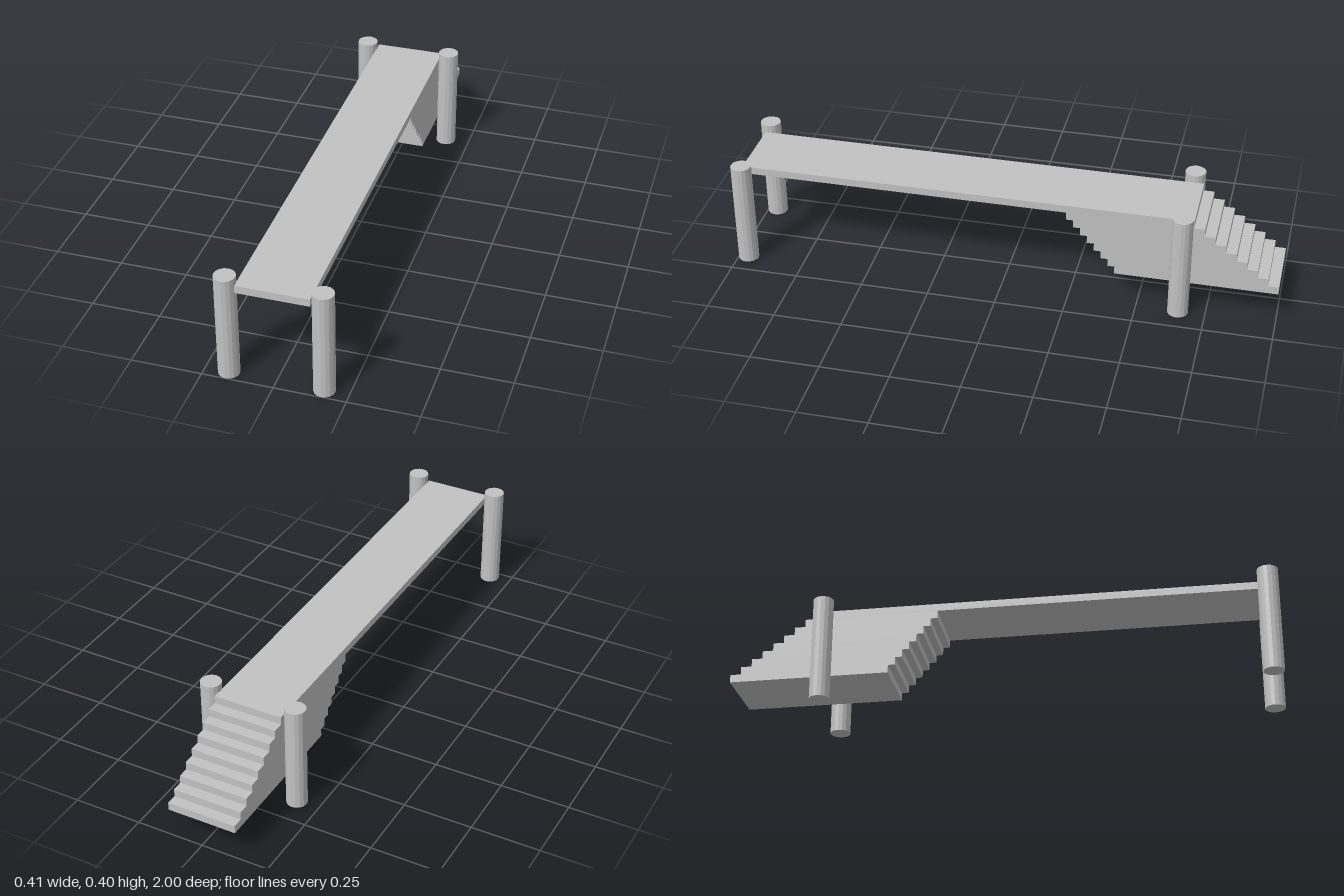
import * as THREE from 'three';

export function createModel() {
  const model = new THREE.Group();
  model.name = 'pier';
  const concrete = new THREE.MeshStandardMaterial({ color: 0xc2c2c2 });
  concrete.name = 'concrete grey';
  const postMaterial = concrete.clone();
  postMaterial.flatShading = true;

  const left = 0.124, right = -0.131;

  // Box given by its height range and z range, as wide as the walkway
  function slab(name, y0, y1, z0, z1) {
    const mesh = new THREE.Mesh(new THREE.BoxGeometry(left - right, y1 - y0, z1 - z0), concrete);
    mesh.position.set((left + right) / 2, (y0 + y1) / 2, (z0 + z1) / 2);
    mesh.name = name;
    model.add(mesh);
  }

  // Walkway deck
  const deckBottom = 0.339;
  slab('deck', deckBottom, 0.367, -0.688, 0.973);

  // Staircase of stacked slabs, each lower one set further back
  const steps = 8, base = 0.105;
  const rise = (deckBottom - base) / steps;
  for (let i = 0; i < steps; i++) {
    const top = deckBottom - i * rise;
    slab('step' + (i + 1), top - rise, top, -0.688 - (i + 1) * 0.039, -0.233 - i * 0.0256);
  }

  // Four round posts
  const postGeometry = new THREE.CylinderGeometry(0.0375, 0.0375, 0.395, 16);
  const posts = [
    ['frontLeftPost', 0.165, 0.9625],
    ['frontRightPost', -0.166, 0.9625],
    ['backLeftPost', 0.159, -0.652],
    ['backRightPost', -0.166, -0.652],
  ];
  for (const [name, x, z] of posts) {
    const post = new THREE.Mesh(postGeometry, postMaterial);
    post.position.set(x, 0.1975, z);
    post.name = name;
    model.add(post);
  }

  return model;
}
